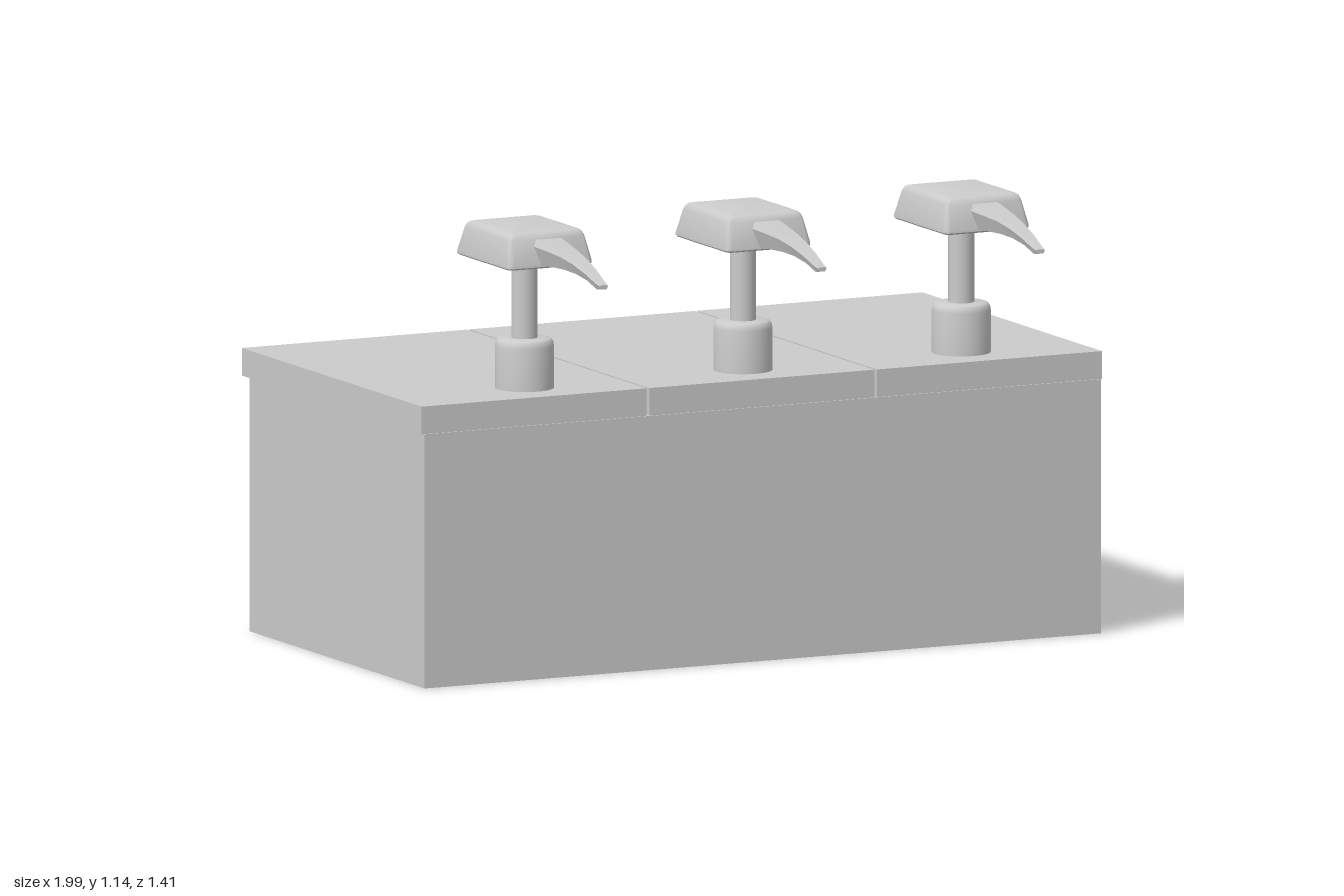
import * as THREE from 'three';
import { toCreasedNormals } from 'three/addons/utils/BufferGeometryUtils.js';

const material = new THREE.MeshStandardMaterial({ color: 0xcccccc, roughness: 0.7 });

function part(name, geometry, x = 0, y = 0, z = 0) {
  const mesh = new THREE.Mesh(geometry, material);
  mesh.name = name;
  mesh.position.set(x, y, z);
  return mesh;
}

// Closed skin over equal-length rings, counter-clockwise seen from the last ring
function loft(rings, crease = 0.6) {
  const n = rings[0].length;
  const index = [];
  for (let r = 0; r < rings.length - 1; r++) {
    for (let i = 0; i < n; i++) {
      const j = (i + 1) % n;
      const a = r * n + i, b = r * n + j;
      index.push(a, b, b + n, a, b + n, a + n);
    }
  }
  const last = (rings.length - 1) * n;
  for (let i = 1; i < n - 1; i++) {
    index.push(0, i + 1, i, last, last + i, last + i + 1);
  }
  const geometry = new THREE.BufferGeometry();
  geometry.setAttribute('position', new THREE.Float32BufferAttribute(rings.flat(2), 3));
  geometry.setIndex(index);
  return toCreasedNormals(geometry, crease);
}

// Horizontal rounded rectangle at height y
function roundedRing(y, width, depth, radius) {
  const ring = [];
  const corners = [[1, -1], [-1, -1], [-1, 1], [1, 1]];
  corners.forEach(([sx, sz], c) => {
    for (let k = 0; k <= 4; k++) {
      const a = (c + k / 4) * Math.PI / 2;
      ring.push([
        sx * (width / 2 - radius) + Math.cos(a) * radius, y,
        sz * (depth / 2 - radius) - Math.sin(a) * radius,
      ]);
    }
  });
  return ring;
}

// Tapered head with softened top and bottom edges
const headGeometry = loft([
  roundedRing(1.055, 0.230, 0.295, 0.012),
  roundedRing(1.059, 0.240, 0.305, 0.015),
  roundedRing(1.066, 0.240, 0.304, 0.015),
  roundedRing(1.128, 0.216, 0.267, 0.015),
  roundedRing(1.138, 0.208, 0.257, 0.015),
  roundedRing(1.143, 0.196, 0.243, 0.012),
  roundedRing(1.145, 0.180, 0.225, 0.010),
]);

// Drooping spout: [z, top y, bottom y, half width]
const spoutGeometry = loft([
  [0.09, 1.130, 1.062, 0.043],
  [0.15, 1.126, 1.062, 0.042],
  [0.20, 1.120, 1.066, 0.036],
  [0.26, 1.112, 1.068, 0.029],
  [0.32, 1.099, 1.066, 0.024],
  [0.38, 1.081, 1.057, 0.019],
  [0.43, 1.062, 1.041, 0.014],
  [0.45, 1.055, 1.044, 0.012],
].map(([z, top, bottom, w]) => {
  const shoulder = top - (top - bottom) * 0.25;
  return [
    [-w * 0.65, bottom, z], [w * 0.65, bottom, z], [w, shoulder, z],
    [w * 0.8, top, z], [-w * 0.8, top, z], [-w, shoulder, z],
  ];
}), 0.5);

// Collar with a rounded upper rim
const collarGeometry = toCreasedNormals(new THREE.LatheGeometry([
  [0, 0], [0.075, 0], [0.075, 0.11], [0.073, 0.12], [0.068, 0.127], [0.060, 0.13], [0, 0.13],
].map(([r, y]) => new THREE.Vector2(r, y)), 32), 0.6);

const stemGeometry = new THREE.CylinderGeometry(0.033, 0.033, 0.22, 24);

function createPump(x, z) {
  const pump = new THREE.Group();
  pump.name = 'pump';
  pump.position.set(x, 0, z);
  pump.add(
    part('collar', collarGeometry, 0, 0.725, 0),
    part('stem', stemGeometry, 0, 0.955, 0),
    part('head', headGeometry),
    part('spout', spoutGeometry),
  );
  return pump;
}

export function createModel() {
  const model = new THREE.Group();
  model.name = 'pumpDispenser';

  // Whole unit stands slightly turned
  const unit = new THREE.Group();
  unit.name = 'dispenserUnit';
  unit.position.set(-0.0025, 0, -0.1375);
  unit.rotation.y = 0.0622;
  model.add(unit);

  unit.add(part('body', new THREE.BoxGeometry(1.914, 0.652, 0.992), 0.009, 0.326, 0));

  // Three lid panels with narrow gaps, one pump each
  const pitch = 0.6445;
  const panelGeometry = new THREE.BoxGeometry(pitch - 0.008, 0.071, 1.017);
  for (const i of [-1, 0, 1]) {
    unit.add(part('lidPanel', panelGeometry, i * pitch, 0.6905, 0));
    unit.add(createPump(0.022 + i * 0.618, 0.357));
  }
  return model;
}
